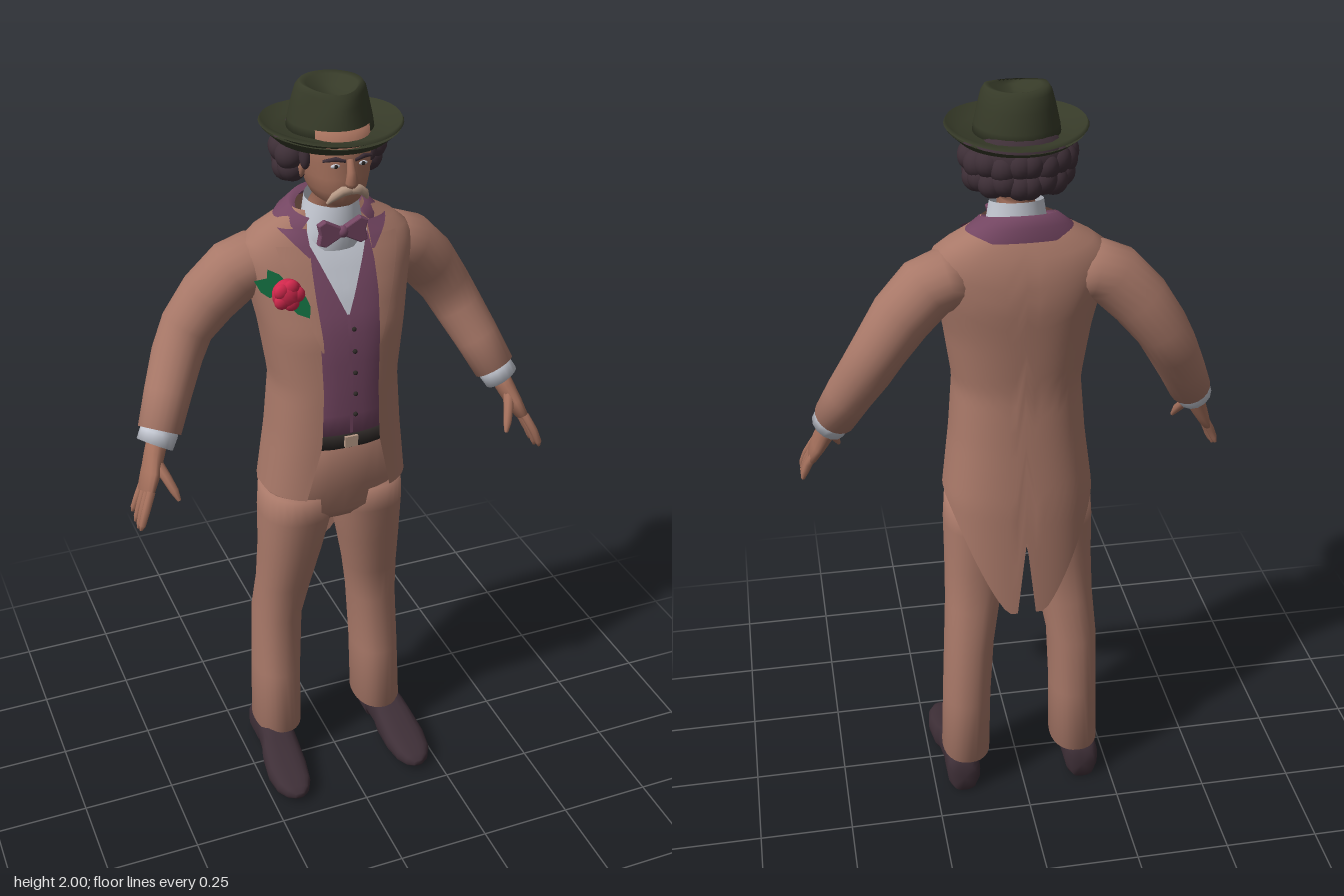
import * as THREE from 'three';

const V = (x, y, z) => new THREE.Vector3(x, y, z);
const mat = (name, color, side = THREE.FrontSide) => {
  const m = new THREE.MeshStandardMaterial({ color, side });
  m.name = name;
  return m;
};
const pw = (v, p) => Math.sign(v) * Math.abs(v) ** p;

// Skin a list of rings (arrays of points); caps close the two ends.
function loft(rings, closed = true, caps = closed) {
  const n = rings[0].length, pos = [], idx = [];
  rings.forEach(r => r.forEach(p => pos.push(p.x, p.y, p.z)));
  for (let i = 0; i < rings.length - 1; i++)
    for (let j = 0; j < (closed ? n : n - 1); j++) {
      const k = (j + 1) % n, a = i * n + j, b = i * n + k;
      idx.push(a, b, b + n, a, b + n, a + n);
    }
  if (caps) [0, rings.length - 1].forEach((r, end) => {
    const c = rings[r].reduce((s, p) => s.add(p), V(0, 0, 0)).divideScalar(n), ci = pos.length / 3;
    pos.push(c.x, c.y, c.z);
    for (let j = 0; j < n; j++) {
      const a = r * n + j, b = r * n + (j + 1) % n;
      end ? idx.push(ci, a, b) : idx.push(ci, b, a);
    }
  });
  const g = new THREE.BufferGeometry();
  g.setAttribute('position', new THREE.Float32BufferAttribute(pos, 3));
  g.setIndex(idx);
  g.computeVertexNormals();
  return g;
}

// Horizontal rounded section: half width, front z, back z.
const point = (t, y, w, zf, zb, p, cx = 0) =>
  V(cx + w * pw(Math.sin(t), p), y, (zf + zb) / 2 + (zf - zb) / 2 * pw(Math.cos(t), p));
const ring = (y, w, zf, zb, p = 1, cx = 0, n = 28) =>
  Array.from({ length: n }, (_, j) => point(j / n * 2 * Math.PI, y, w, zf, zb, p, cx));

// Round limb along a path: each entry is [x, y, z, radius across, radius in depth].
function limb(path, n = 14) {
  const c = path.map(a => V(a[0], a[1], a[2]));
  return loft(path.map((a, i) => {
    const t = c[Math.min(i + 1, c.length - 1)].clone().sub(c[Math.max(i - 1, 0)]).normalize();
    const u = V(0, 0, 1).cross(t).normalize(), v = t.clone().cross(u);
    return Array.from({ length: n }, (_, j) => {
      const f = j / n * 2 * Math.PI;
      return c[i].clone().addScaledVector(u, a[3] * Math.cos(f)).addScaledVector(v, a[4] * Math.sin(f));
    });
  }));
}

// Coat profile: y, half width, front z, back z, half opening.
const COAT = [[0.62, .195, .115, -.187, .125], [0.94, .195, .12, -.18, .115], [1.1, .175, .125, -.167, .078],
  [1.25, .163, .125, -.157, .073], [1.4, .185, .116, -.17, .078], [1.5, .205, .085, -.18, .085],
  [1.58, .225, .05, -.172, .085], [1.625, .205, .025, -.157, .08], [1.66, .14, .005, -.14, .07], [1.69, .09, 0, -.12, .06]];
const P = 0.82;
function coatAt(y) {
  let i = 0;
  while (i < COAT.length - 2 && y > COAT[i + 1][0]) i++;
  const a = COAT[i], b = COAT[i + 1], f = THREE.MathUtils.clamp((y - a[0]) / (b[0] - a[0]), 0, 1);
  return a.map((v, k) => v + (b[k] - v) * f);
}
function coatZ(x, y) {
  const [, w, zf, zb] = coatAt(y), s = Math.min(1, Math.abs(x) / w) ** (1 / P);
  return (zf + zb) / 2 + (zf - zb) / 2 * Math.sqrt(1 - s * s) ** P;
}
// Thin panel lying on the chest between two edge functions of y.
function panel(y0, y1, left, right, off, rows = 10, cols = 8) {
  return loft(Array.from({ length: rows + 1 }, (_, i) => {
    const y = y0 + (y1 - y0) * i / rows;
    return Array.from({ length: cols + 1 }, (_, j) => {
      const x = left(y) + (right(y) - left(y)) * j / cols;
      return V(x, y, coatZ(x, y) + off);
    });
  }), false);
}
const ball = (x, y, z, rx, ry = rx, rz = rx) =>
  new THREE.SphereGeometry(1, 16, 12).scale(rx, ry, rz).translate(x, y, z);
function mirrored(geo) {
  const g = geo.clone().scale(-1, 1, 1), a = g.index.array;
  for (let i = 0; i < a.length; i += 3) [a[i], a[i + 1]] = [a[i + 1], a[i]];
  return g;
}

export function createModel() {
  const D = THREE.DoubleSide, root = new THREE.Group();
  root.name = 'gentleman';
  const suit = mat('suit brown', 0xa87868, D), plum = mat('plum cloth', 0x744662, D), white = mat('shirt white', 0xc6cad4, D);
  const felt = mat('hat felt', 0x363a28, D), dark = mat('hair and shoes', 0x3e2f37), skin = mat('skin', 0xa4705c);
  const red = mat('rose red', 0xd0284c), green = mat('leaf green', 0x10653a, D);
  const tan = mat('moustache tan', 0xb89a86), black = mat('belt leather', 0x2c2725);
  const add = (name, geo, m) => {
    const mesh = new THREE.Mesh(geo, m);
    mesh.name = name;
    root.add(mesh);
  };
  const both = (name, geo, m) => { add(name + 'Left', geo, m); add(name + 'Right', mirrored(geo), m); };

  // Shoes: flat-bottomed sections from heel to toe [z, x, half width, bottom, top]
  const shoe = [[-.156, .17, .034, 0, .085], [-.14, .17, .046, 0, .115], [-.065, .17, .047, 0, .125], [-.06, .17, .047, .016, .125],
    [.0, .175, .05, .014, .118], [.03, .178, .055, .002, .1], [.1, .183, .058, 0, .072], [.155, .184, .05, .004, .058],
    [.185, .183, .034, .01, .048], [.2, .182, .014, .018, .036]];
  both('shoe', loft(shoe.map(([z, cx, w, b, t]) => Array.from({ length: 18 }, (_, j) => {
    const f = j / 18 * 2 * Math.PI;
    return V(cx + w * pw(Math.cos(f), .7), b + (t - b) * (.5 + .5 * pw(Math.sin(f), .7)), z);
  }))), dark);

  // Trousers
  const leg = [[.105, .155, .066, .02, -.163], [.3, .15, .065, .01, -.165], [.48, .142, .067, -.002, -.166], [.6, .127, .074, .02, -.142],
    [.72, .113, .085, .048, -.137], [.84, .1, .098, .07, -.145], [.92, .095, .097, .08, -.15]];
  both('trouserLeg', loft(leg.map(([y, cx, w, f, b]) => ring(y, w, f, b, .9, cx))), suit);
  add('trouserHips', loft([[.83, .13, .04, -.12], [.87, .18, .072, -.145], [.95, .185, .088, -.15], [1.1, .16, .108, -.145]]
    .map(([y, w, f, b]) => ring(y, w, f, b, .85))), suit);
  add('belt', loft([1.085, 1.125].map(y => ring(y, .162, .114, -.146, P))), black);
  add('buckle', new THREE.BoxGeometry(.035, .03, .008).translate(0, 1.105, .117), tan);

  // Waistcoat, with a pointed front edge and buttons
  add('waistcoat', loft([1.12, 1.18, 1.25, 1.32, 1.4, 1.45, 1.5, 1.55, 1.6, 1.64].map(y => {
    const [, w, f, b] = coatAt(y);
    return ring(y, w - .014, f - .012, b + .014, P, 0, 40);
  })), plum);
  add('waistcoatOverlap', panel(1.13, 1.45, () => -.004, () => .004, -.008), plum);
  for (let i = 0; i < 5; i++) {
    const y = 1.18 + i * .058;
    add('waistcoatButton', ball(.012, y, coatZ(0, y) - .01, .006), black);
  }
  // Shirt front and collar
  const vee = y => .003 + .085 * (y - 1.45) / .2;
  add('shirtFront', panel(1.45, 1.66, y => -vee(y), vee, -.006), white);
  add('shirtPlacket', panel(1.48, 1.64, () => -.008, () => .008, -.002), white);
  add('shirtCollar', loft([[1.61, .085, .04, -.1], [1.66, .076, .048, -.09], [1.72, .066, .035, -.085]].map(([y, w, f, b]) =>
    ring(y, w, f, b).map(p => p.setY(p.y - .18 * (p.z + .03)))), true, false), white);

  // Bow tie
  const bow = new THREE.Shape([[.006, .009], [.045, .03], [.06, .022], [.055, 0], [.06, -.024], [.045, -.03], [.006, -.009]]
    .map(p => new THREE.Vector2(...p)));
  const wing = new THREE.ExtrudeGeometry(bow, { depth: .012, bevelSize: .003, bevelThickness: .004, bevelSegments: 2 }).translate(0, 1.652, .046);
  wing.setIndex([...Array(wing.attributes.position.count).keys()]);
  both('bowTieWing', wing, plum);
  add('bowTieKnot', ball(0, 1.652, .055, .014, .015, .013), plum);

  // Tailcoat: an open sheet whose hem drops into two tails behind
  const cols = 64, rows = 30;
  const hem = u => {
    const d = Math.abs(u - .5) * 2;
    if (d < .001) return .84;
    if (d > .58) return .94;
    return .62 + .315 * Math.sin(Math.max(0, d - .07) / .51 * Math.PI / 2) ** 1.15;
  };
  add('tailcoat', loft(Array.from({ length: rows + 1 }, (_, i) => Array.from({ length: cols + 1 }, (_, j) => {
    const u = j / cols, h = hem(u), y = h + (1.69 - h) * i / rows, [, w, f, b, o] = coatAt(y);
    const t0 = Math.asin((o / w) ** (1 / P));
    return point(t0 + u * 2 * (Math.PI - t0), y, w, f, b, P);
  })), false), suit);
  // Lapels and coat collar
  const open = y => coatAt(y)[4] - .004;
  both('lapel', panel(1.37, 1.62, open, y => open(y) + .004 + .075 * (y - 1.37) / .25, .009), suit);
  both('collarPoint', panel(1.595, 1.655, y => .078, y => .085 + .055 * (y - 1.595) / .06, .014), plum);
  add('coatCollar', loft([[1.655, .155, .035, -.15], [1.69, .128, .033, -.146], [1.715, .095, .025, -.13], [1.705, .08, .02, -.115]].map(([y, w, f, b]) =>
    Array.from({ length: 33 }, (_, j) => {
      const t = .75 + j / 32 * 2 * (Math.PI - .75);
      return point(t, y - .022 * (Math.cos(t) + 1), w, f, b, 1);
    })), false), plum);

  // Sleeves, cuffs and hands
  both('sleeve', limb([[.13, 1.555, -.08, .06, .07], [.18, 1.55, -.08, .076, .084], [.23, 1.53, -.085, .079, .082], [.295, 1.465, -.098, .076, .076],
    [.35, 1.39, -.108, .068, .07], [.385, 1.325, -.09, .065, .068], [.425, 1.245, -.05, .06, .062], [.462, 1.165, -.012, .055, .056]], 20), suit);
  both('cuff', limb([[.455, 1.185, -.02, .045, .047], [.465, 1.16, -.01, .048, .05], [.48, 1.135, .0, .047, .049]]), white);
  both('palm', limb([[.47, 1.15, -.005, .026, .03], [.485, 1.115, .01, .025, .033], [.503, 1.075, .03, .021, .044], [.522, 1.035, .046, .015, .044]]), skin);
  for (let k = 0; k < 4; k++) {
    const z = .013 + k * .022, s = [.85, 1, 1.05, .95][k], e = z + .008 + k * .004;
    both('finger', limb([[.516, 1.05, z, .011, .011], [.537, 1.05 - .045 * s, (z + e) / 2 + .006, .011, .011],
      [.55, 1.05 - .08 * s, e + .003, .009, .009], [.554, 1.05 - .096 * s, e, .004, .004]], 8), skin);
  }
  both('thumb', limb([[.488, 1.105, .03, .015, .016], [.473, 1.075, .065, .013, .013], [.46, 1.045, .088, .011, .011], [.452, 1.022, .1, .005, .005]], 8), skin);

  // Head and face
  add('head', loft([[1.6, .05, .015, -.09], [1.7, .05, .02, -.085], [1.725, .04, .075, -.08], [1.738, .055, .09, -.085], [1.765, .069, .1, -.09],
    [1.8, .079, .104, -.11], [1.835, .083, .099, -.12], [1.86, .085, .104, -.12], [1.91, .083, .09, -.12]].map(([y, w, f, b]) => ring(y, w, f, b, .92))), skin);
  add('nose', limb([[0, 1.85, .1, .008, .008], [0, 1.82, .108, .011, .012], [0, 1.797, .114, .017, .014], [0, 1.786, .106, .012, .01]], 10), skin);
  both('eye', ball(.034, 1.834, .093, .012, .005, .005), white);
  both('iris', ball(.034, 1.834, .0965, .005, .005, .003), black);
  both('brow', limb([[.012, 1.846, .1, .004, .005], [.035, 1.853, .098, .006, .006], [.06, 1.845, .08, .003, .004]], 8), dark);
  both('ear', ball(.085, 1.81, -.005, .012, .03, .02), skin);
  both('moustache', limb([[0, 1.777, .109, .01, .01], [.02, 1.776, .107, .012, .011], [.038, 1.762, .097, .01, .01], [.05, 1.742, .083, .004, .004]], 10), tan);

  // Hair: a full mass at the back with curls round the lower edge
  add('hair', ball(0, 1.845, -.075, .115, .075, .09), dark);
  for (let i = 0; i < 6; i++) {
    const a = .1 + i * .35, s = Math.sin(a), c = Math.cos(a);
    both('lowerCurl', ball(.1 * s, 1.793 + .008 * (i % 2), -.05 - .085 * c, .036), dark);
    both('upperCurl', ball(.108 * s, 1.842 - .008 * (i % 2), -.045 - .09 * c, .037), dark);
  }
  both('sideburn', ball(.083, 1.845, .025, .014, .035, .018), dark);

  // Hat: upturned brim, and a crown with a teardrop dent pinched at the front
  add('hatBrim', loft([[1.884, .17, .158, -.203, 1], [1.876, .165, .154, -.198, 1], [1.864, .135, .125, -.17, 0], [1.87, .095, .085, -.135, 0], [1.885, .095, .085, -.135, 0],
    [1.88, .135, .125, -.17, 0], [1.892, .165, .154, -.198, 1], [1.884, .17, .158, -.203, 1]].slice(1)
    .map(([y, w, f, b, e]) => ring(y, w, f, b, 1, 0, 40).map(p => p.setY(p.y + .006 + e * (.004 + .012 * (p.x / w) ** 2 + .006 * Math.max(0, p.z) / .15)))).reverse(), true, false)
    .scale(1, 1, 1), felt);
  add('hatCrown', loft([[1.875, .106, .09, -.142], [1.91, .101, .082, -.136], [1.955, .091, .072, -.126], [1.985, .083, .064, -.114], [1.998, .074, .054, -.1],
    [1.994, .06, .056, -.085], [1.975, .036, .05, -.06], [1.968, .012, .03, -.03]].map(([y, w, f, b], i) =>
    ring(y, w, f, b, 1, 0, 32).map(p => {
      const k = Math.max(0, p.z / .09);
      p.x *= 1 - (i > 1 ? .4 : .1) * k;
      p.y -= i > 2 && i < 6 ? .02 * k : 0;
      return p;
    }))), felt);

  // Rose buttonhole with leaves
  add('rose', ball(-.155, 1.53, .088, .038, .038, .028), red);
  for (let i = 0; i < 5; i++) {
    const a = i * 1.257;
    add('petal', ball(-.155 + .021 * Math.cos(a), 1.53 + .021 * Math.sin(a), .1, .02, .02, .013), red);
  }
  const leaf = new THREE.Shape([[0, 0], [.022, .02], [.018, .045], [0, .07], [-.018, .045], [-.022, .02]].map(p => new THREE.Vector2(...p)));
  [[-.17, 1.535, 1.15], [-.14, 1.525, 3.75], [-.165, 1.53, .55]].forEach(([x, y, r]) =>
    add('leaf', new THREE.ShapeGeometry(leaf).rotateZ(r).rotateX(-.35).rotateY(-.35).translate(x, y, .088), green));

  return root;
}
